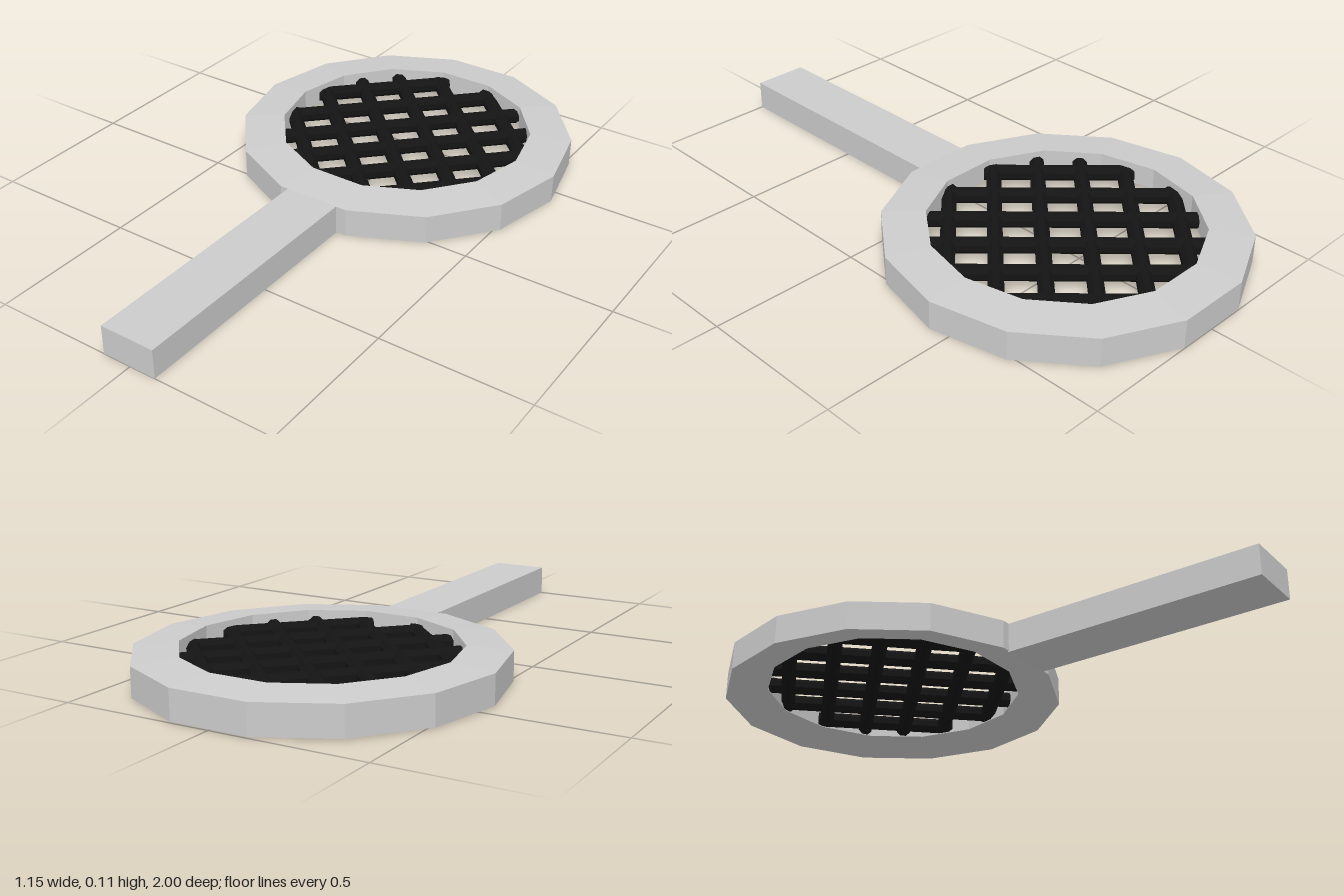
import * as THREE from 'three';

const SIDES = 14;
const CENTRE_Z = -0.438;

export function createModel() {
  const model = new THREE.Group();
  const grey = new THREE.MeshStandardMaterial({ color: 0xcccccc, flatShading: true });
  const black = new THREE.MeshStandardMaterial({ color: 0x141414, flatShading: true });

  // Frame: fourteen-sided ring, thinner on the inside and open in the middle
  const profile = [
    [0.577, 0.004], [0.577, 0.1], [0.435, 0.112], [0.435, 0.04], [0.577, 0.004],
  ].map(([r, y]) => new THREE.Vector2(r, y));
  const frame = new THREE.Mesh(
    new THREE.LatheGeometry(profile, SIDES, Math.PI / SIDES, Math.PI * 2), grey);
  frame.name = 'frame';
  frame.position.z = CENTRE_Z;
  model.add(frame);

  // Handle: plain bar growing out of the front flat of the frame
  const handleStart = 0.122;
  const handle = new THREE.Mesh(new THREE.BoxGeometry(0.19, 0.1, 1 - handleStart), grey);
  handle.name = 'handle';
  handle.position.set(-0.004, 0.05, (1 + handleStart) / 2);
  model.add(handle);

  // Strings: two crossing sets of diagonal bars, each cut to the opening
  const strings = new THREE.Group();
  strings.name = 'strings';
  strings.position.set(0, 0.067, CENTRE_Z);
  const spacing = 0.145;
  for (const angle of [Math.PI / 4, -Math.PI / 4]) {
    const set = new THREE.Group();
    set.name = 'stringSet';
    set.rotation.y = angle;
    for (let i = -2.5; i <= 2.5; i++) {
      const offset = i * spacing;
      const length = 2 * Math.sqrt(0.44 ** 2 - offset ** 2);
      const bar = new THREE.CylinderGeometry(0.026, 0.026, length, 8);
      bar.rotateY(Math.PI / 8).rotateX(Math.PI / 2);
      const string = new THREE.Mesh(bar, black);
      string.name = 'string';
      string.position.x = offset;
      set.add(string);
    }
    strings.add(set);
  }
  model.add(strings);

  return model;
}
